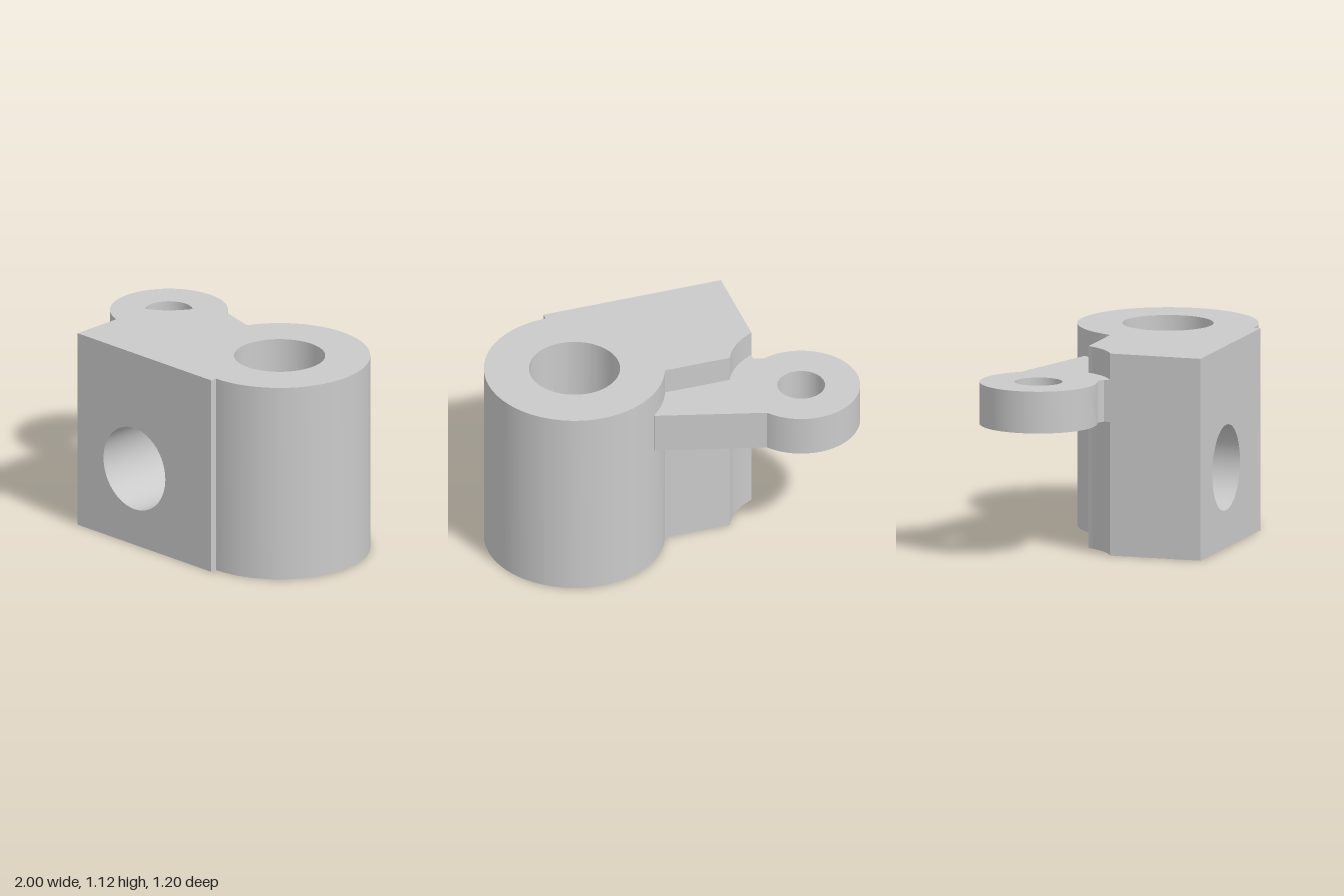
import * as THREE from 'three';
import { toCreasedNormals } from 'three/addons/utils/BufferGeometryUtils.js';

const FRONT = 0.597, TOP = 1.115, SIDE = -0.513;
const PIVOT = { x: 0.506, z: 0.066, r: 0.493, bore: 0.248 };
const BOSS = { x: -0.679, z: -0.278, r: 0.321, bore: 0.13, clearance: 0.392 };
const PORT = { x: -0.08, y: 0.443, r: 0.236, innerR: 0.196, stepZ: 0.12, floorZ: 0.0 };

// Extrudes a plan drawn in (x, z) between two heights
function extrudePlan(shape, y0, y1) {
  const g = new THREE.ExtrudeGeometry(shape, { depth: y1 - y0, bevelEnabled: false, curveSegments: 64 });
  return g.rotateX(Math.PI / 2).translate(0, y1, 0);
}

// Hole outline, wound opposite to the shape it is cut from
function circlePath(x, y, r, clockwise) {
  return new THREE.Path().absarc(x, y, r, 0, Math.PI * 2, clockwise);
}

// Removes the flat front wall so a drilled one can take its place
function withoutFront(geometry) {
  const src = geometry.index ? geometry.toNonIndexed() : geometry;
  const p = src.attributes.position;
  const kept = [];
  for (let i = 0; i < p.count; i += 3) {
    const onFront = [0, 1, 2].every(k => Math.abs(p.getZ(i + k) - FRONT) < 1e-4);
    if (onFront) continue;
    for (let k = 0; k < 3; k++) kept.push(p.getX(i + k), p.getY(i + k), p.getZ(i + k));
  }
  const g = new THREE.BufferGeometry();
  g.setAttribute('position', new THREE.Float32BufferAttribute(kept, 3));
  g.computeVertexNormals();
  return g;
}

export function createModel() {
  const model = new THREE.Group();
  model.name = 'pivotBracket';
  const metal = new THREE.MeshStandardMaterial({ color: 0xcacaca });
  metal.name = 'plainGrey';
  const boreMetal = new THREE.MeshStandardMaterial({ color: 0xcacaca, side: THREE.BackSide });
  boreMetal.name = 'plainGreyBore';

  const add = (name, geometry, material = metal) => {
    const mesh = new THREE.Mesh(geometry, material);
    mesh.name = name;
    model.add(mesh);
    return mesh;
  };

  // Block merged with the vertical barrel, scooped out around the boss
  const body = new THREE.Shape();
  body.moveTo(SIDE, FRONT);
  body.lineTo(PIVOT.x, FRONT);
  body.absarc(PIVOT.x, PIVOT.z, PIVOT.r, Math.PI / 2, Math.atan2(-0.176, -0.461), true);
  body.lineTo(-0.326, -0.11);
  body.absarc(BOSS.x, BOSS.z, BOSS.clearance, Math.atan2(0.168, 0.354), Math.acos((SIDE - BOSS.x) / BOSS.clearance), false);
  body.closePath();
  body.holes.push(circlePath(PIVOT.x, PIVOT.z, PIVOT.bore, false));
  add('body', toCreasedNormals(withoutFront(extrudePlan(body, 0, TOP)), 0.5));

  // Front wall with the round port opening
  const wall = new THREE.Shape();
  wall.moveTo(SIDE, 0).lineTo(PIVOT.x, 0).lineTo(PIVOT.x, TOP).lineTo(SIDE, TOP).closePath();
  wall.holes.push(circlePath(PORT.x, PORT.y, PORT.r, true));
  add('frontWall', new THREE.ShapeGeometry(wall, 64)).position.z = FRONT;

  // Stepped blind port
  const portTube = (name, r, z0, z1) => {
    const g = new THREE.CylinderGeometry(r, r, z1 - z0, 64, 1, true).rotateX(Math.PI / 2);
    add(name, g, boreMetal).position.set(PORT.x, PORT.y, (z0 + z1) / 2);
  };
  portTube('portBore', PORT.r, PORT.stepZ, FRONT);
  portTube('portInnerBore', PORT.innerR, PORT.floorZ, PORT.stepZ);
  add('portStep', new THREE.RingGeometry(PORT.innerR, PORT.r, 64)).position.set(PORT.x, PORT.y, PORT.stepZ);
  add('portFloor', new THREE.CircleGeometry(PORT.innerR, 64)).position.set(PORT.x, PORT.y, PORT.floorZ);

  // Side arm with a drilled round boss, rooted inside the body
  const arm = new THREE.Shape();
  arm.moveTo(0.17, -0.3);
  arm.lineTo(0.2, -0.2);
  arm.lineTo(0.05, -0.05);
  arm.lineTo(-0.45, 0.08);
  arm.lineTo(SIDE + 0.002, 0.08);
  arm.lineTo(SIDE + 0.002, 0.042);
  arm.quadraticCurveTo(-0.54, 0.024, -0.568, 0.023);
  arm.absarc(BOSS.x, BOSS.z, BOSS.r, Math.atan2(0.302, 0.11), Math.atan2(-0.19, 0.26) + Math.PI * 2, false);
  arm.closePath();
  arm.holes.push(circlePath(BOSS.x, BOSS.z, BOSS.bore, true));
  add('arm', toCreasedNormals(extrudePlan(arm, 0.737, 0.968), 0.5));

  return model;
}
